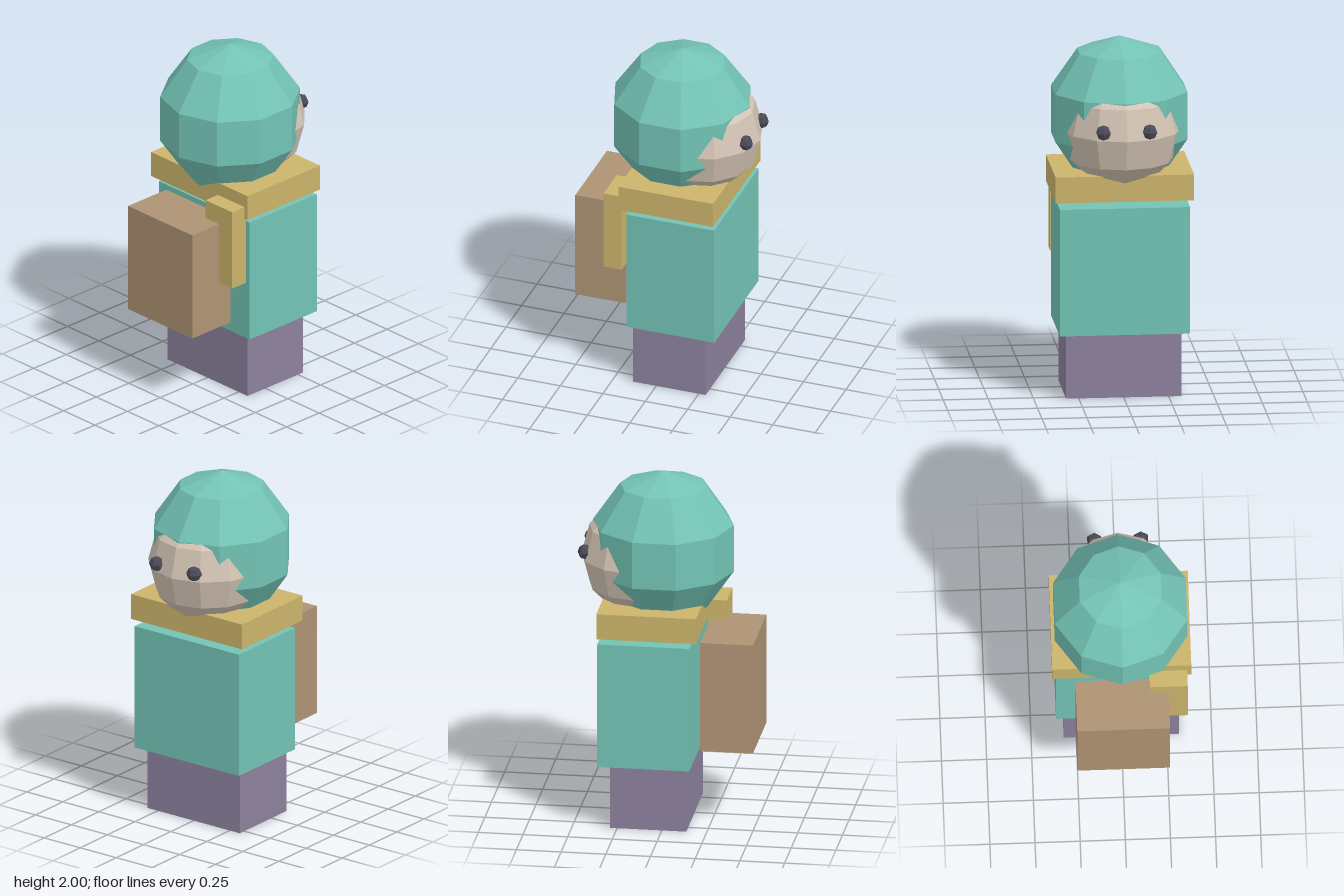
import * as THREE from 'three';

const mat = (name, color) => {
  const m = new THREE.MeshStandardMaterial({ color, flatShading: true });
  m.name = name;
  return m;
};

export function createModel() {
  const model = new THREE.Group();
  model.name = 'hoodedTraveller';

  const teal = mat('teal cloth', 0x73c3b5);
  const mustard = mat('mustard wool', 0xcbb46b);
  const brown = mat('brown leather', 0xaf9374);
  const purple = mat('purple trousers', 0x8c819d);
  const skin = mat('skin', 0xd3c4b4);
  const dark = mat('dark eyes', 0x4b4b58);

  // Box given by its extents along each axis
  const box = (name, material, [x0, x1], [y0, y1], [z0, z1]) => {
    const mesh = new THREE.Mesh(new THREE.BoxGeometry(x1 - x0, y1 - y0, z1 - z0), material);
    mesh.position.set((x0 + x1) / 2, (y0 + y1) / 2, (z0 + z1) / 2);
    mesh.name = name;
    model.add(mesh);
  };

  // Faceted ellipsoid with a column of corners pointing along z
  const ball = (name, material, [rx, ry, rz], sides, rings, [x, y, z]) => {
    const geometry = new THREE.SphereGeometry(1, sides, rings);
    geometry.rotateY(Math.PI / 2).scale(rx, ry, rz);
    const mesh = new THREE.Mesh(geometry, material);
    mesh.position.set(x, y, z);
    mesh.name = name;
    model.add(mesh);
  };

  // Body
  box('legs', purple, [-0.32, 0.32], [0, 0.37], [-0.29, 0.137]);
  box('torso', teal, [-0.363, 0.361], [0.37, 1.09], [-0.355, 0.16]);

  // Scarf with its hanging end, and the backpack
  box('scarf', mustard, [-0.385, 0.385], [1.128, 1.275], [-0.357, 0.2]);
  box('scarfTail', mustard, [0.15, 0.362], [0.73, 1.2], [0.19, 0.295]);
  box('backpack', brown, [-0.257, 0.257], [0.455, 1.09], [0.205, 0.5]);

  // Head: the face pokes out of the hood on the side away from the backpack
  ball('hood', teal, [0.406, 0.436, 0.414], 10, 5, [0, 1.564, -0.037]);
  ball('face', skin, [0.33, 0.34, 0.33], 12, 6, [0, 1.5, -0.165]);
  for (const side of [-1, 1]) {
    ball(side > 0 ? 'eyeLeft' : 'eyeRight', dark, [0.045, 0.043, 0.042], 6, 4, [side * 0.129, 1.547, -0.457]);
  }

  return model;
}
